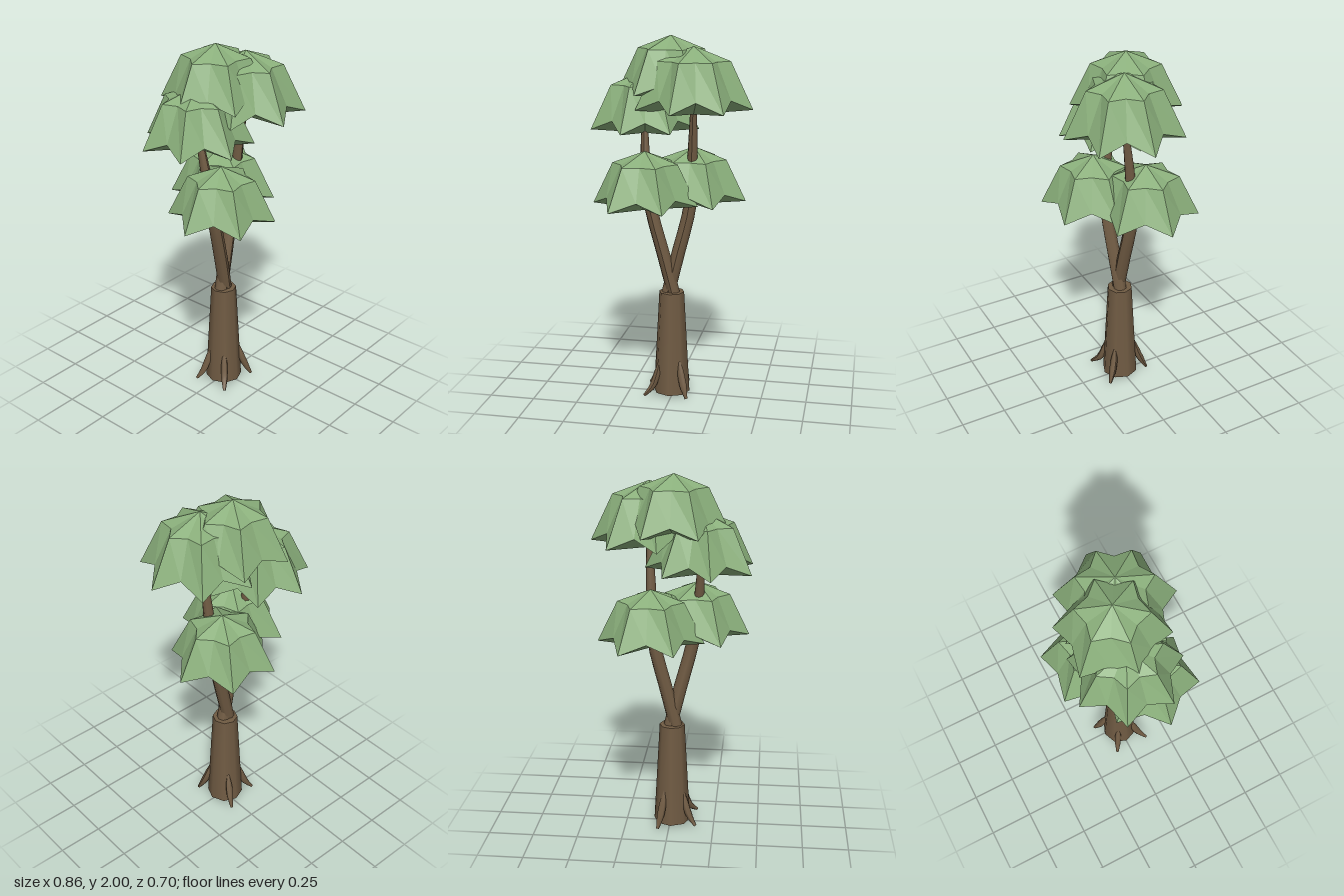
import * as THREE from 'three';

const leafGreen = new THREE.MeshStandardMaterial({ color: 0x8aaf7b });
const barkBrown = new THREE.MeshStandardMaterial({ color: 0x705b43 });

// Faceted star-shaped leaf cap: apex, shoulder ring, drooping tips and raised notches
function canopyGeometry(tips, radius, drop) {
  const profile = [
    [0, -drop],
    [radius, -drop * 0.91],
    [radius * 0.62, -drop * 0.21],
    [0, 0],
  ].map(([r, y]) => new THREE.Vector2(r, y));
  const lathe = new THREE.LatheGeometry(profile, tips * 2, Math.PI / 2);
  const pos = lathe.attributes.position;
  for (let i = 0; i < pos.count; i++) {
    const spoke = Math.floor(i / profile.length);
    const ring = i % profile.length;
    if (spoke % 2 === 0) continue;
    pos.setX(i, pos.getX(i) * 0.75);
    pos.setZ(i, pos.getZ(i) * 0.75);
    if (ring === 1) pos.setY(i, pos.getY(i) + drop * 0.16);
  }
  const geometry = lathe.toNonIndexed();
  geometry.computeVertexNormals();
  return geometry;
}

// Tube along a curve whose radius follows a list of values
function taperedTube(points, radii, segments, sides) {
  const curve = new THREE.CatmullRomCurve3(points.map((p) => new THREE.Vector3(...p)));
  const geometry = new THREE.TubeGeometry(curve, segments, 1, sides);
  const pos = geometry.attributes.position;
  const v = new THREE.Vector3();
  for (let i = 0; i < pos.count; i++) {
    const t = Math.floor(i / (sides + 1)) / segments;
    const f = t * (radii.length - 1);
    const k = Math.min(Math.floor(f), radii.length - 2);
    const r = THREE.MathUtils.lerp(radii[k], radii[k + 1], f - k);
    const centre = curve.getPointAt(t);
    v.fromBufferAttribute(pos, i).sub(centre).multiplyScalar(r).add(centre);
    pos.setXYZ(i, v.x, v.y, v.z);
  }
  geometry.computeVertexNormals();
  return geometry;
}

export function createModel() {
  const tree = new THREE.Group();
  tree.name = 'tree';
  const add = (name, geometry, material, x = 0, y = 0, z = 0) => {
    const mesh = new THREE.Mesh(geometry, material);
    mesh.name = name;
    mesh.position.set(x, y, z);
    tree.add(mesh);
    return mesh;
  };

  // Trunk with a shallow pointed base
  add('trunk', new THREE.CylinderGeometry(0.07, 0.102, 0.585, 8), barkBrown, -0.01, 0.3075, 0);
  add('trunkBase', new THREE.ConeGeometry(0.102, 0.015, 8, 1, true), barkBrown, -0.01, 0.0075, 0)
    .rotation.x = Math.PI;

  // Roots splaying out from the trunk
  const rootTips = [[-0.14, 0.12], [0.1, 0.12], [0.065, -0.14], [-0.145, -0.085]];
  rootTips.forEach(([x, z], i) => {
    const d = Math.hypot(x, z);
    const at = (r, y) => [(x / d) * r - 0.005, y, (z / d) * r];
    add('root' + (i + 1),
      taperedTube([at(0.078, 0.22), at(0.1, 0.13), at(0.13, 0.06), at(d, 0.015)],
        [0.005, 0.02, 0.021, 0.008], 8, 6), barkBrown);
  });

  // Two crossing branches rising through the leaf caps
  add('leftBranch', taperedTube(
    [[0.01, 0.55, 0.0], [-0.05, 0.8, 0.015], [-0.125, 1.1, 0.025], [-0.155, 1.35, 0.0], [-0.167, 1.6, -0.045]],
    [0.037, 0.037, 0.035, 0.027, 0.015], 12, 8), barkBrown);
  add('rightBranch', taperedTube(
    [[-0.04, 0.55, 0.0], [0.02, 0.8, -0.008], [0.09, 1.1, -0.018], [0.105, 1.4, 0.005], [0.117, 1.7, 0.045]],
    [0.037, 0.037, 0.035, 0.026, 0.015], 12, 8), barkBrown);

  // Leaf caps: name, number of tips, radius, height, apex position
  [
    ['topCanopy', 6, 0.29, 0.325, -0.022, 2.0, -0.042],
    ['upperLeftCanopy', 7, 0.315, 0.355, 0.115, 1.95, 0.043],
    ['upperRightCanopy', 7, 0.297, 0.335, -0.167, 1.81, -0.047],
    ['lowerRightCanopy', 6, 0.287, 0.32, -0.137, 1.4, 0.092],
    ['lowerLeftCanopy', 6, 0.287, 0.32, 0.095, 1.4, -0.098],
  ].forEach(([name, tips, radius, drop, x, y, z]) =>
    add(name, canopyGeometry(tips, radius, drop), leafGreen, x, y, z));

  return tree;
}
